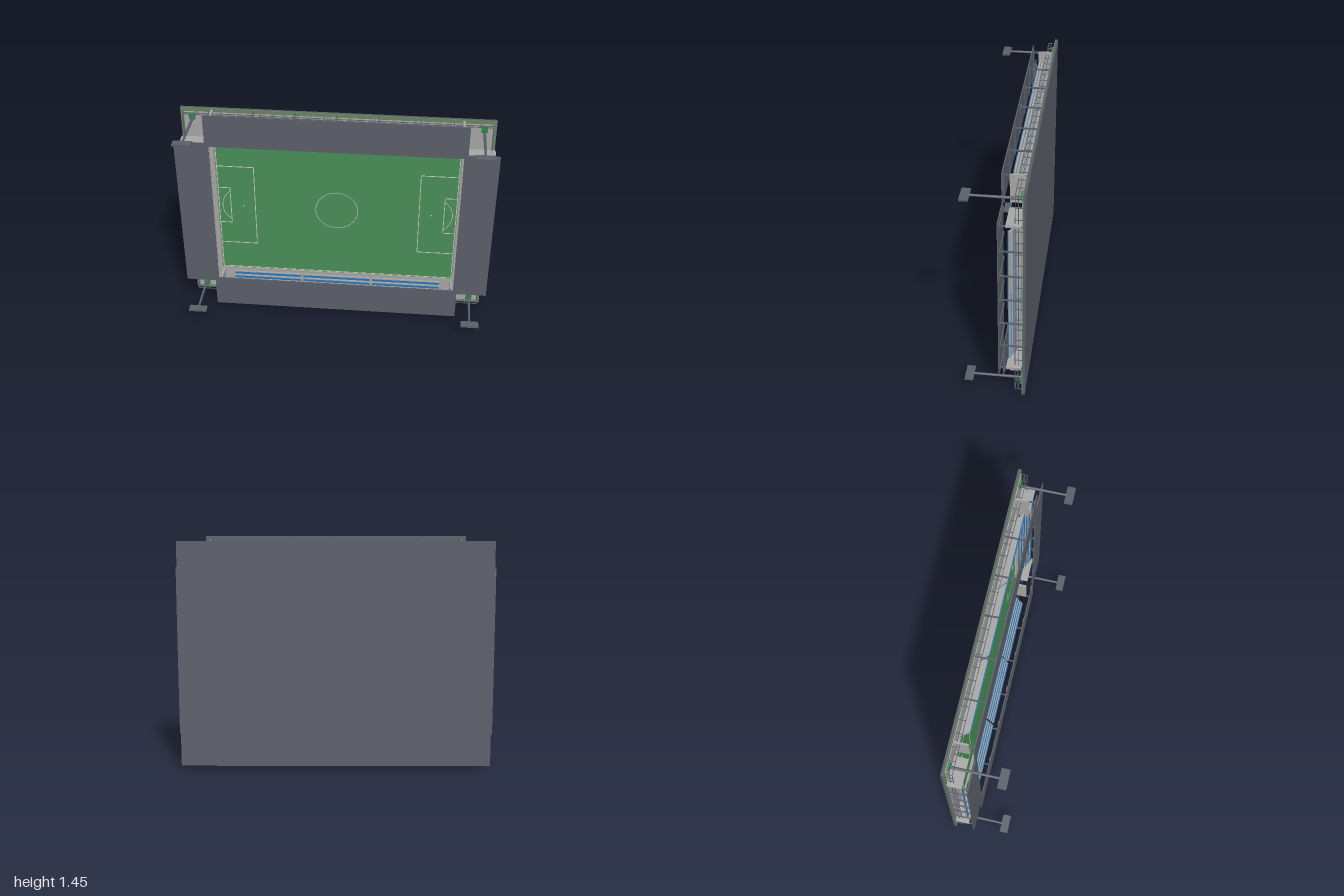
import * as THREE from 'three';

const mat = (name, color) => {
  const m = new THREE.MeshStandardMaterial({ color });
  m.name = name;
  return m;
};

export function createModel() {
  const steel = mat('dark steel', 0x5c606a);
  const grass = mat('pitch grass', 0x4a8f58);
  const apronGreen = mat('apron olive', 0x6c8662);
  const concrete = mat('concrete', 0xa8a8a6);
  const seatBlue = mat('seat blue', 0x2f74b0);
  const lineWhite = mat('line paint', 0xc4ccc0);
  const shrubGreen = mat('planter green', 0x2f8a45);
  const boardGrey = mat('barrier board', 0xa39f98);

  const model = new THREE.Group();
  model.name = 'stadium';
  const arena = new THREE.Group();
  arena.name = 'arena';
  arena.position.y = 0.73; // everything below is measured from the centre spot
  model.add(arena);

  // box given by its limits on each axis
  const box = (parent, name, material, x0, x1, y0, y1, z0, z1) => {
    const mesh = new THREE.Mesh(new THREE.BoxGeometry(x1 - x0, y1 - y0, z1 - z0), material);
    mesh.position.set((x0 + x1) / 2, (y0 + y1) / 2, (z0 + z1) / 2);
    mesh.name = name;
    parent.add(mesh);
    return mesh;
  };

  // ground layers
  box(arena, 'basePlate', steel, -0.97, 0.97, -0.705, 0.705, -0.181, -0.166);
  box(arena, 'apron', apronGreen, -0.97, 0.97, -0.705, 0.705, -0.166, -0.162);
  box(arena, 'concourse', concrete, -0.948, 0.948, -0.68, 0.68, -0.162, -0.157);
  box(arena, 'pitch', grass, -0.774, 0.774, -0.505, 0.505, -0.157, -0.153);

  // low barrier around the pitch
  for (const s of [-1, 1]) {
    const x = s * 0.777, y = s * 0.508;
    box(arena, 'sideBarrier', boardGrey, x - 0.003, x + 0.003, -0.511, 0.511, -0.157, -0.142);
    box(arena, 'endBarrier', boardGrey, -0.774, 0.774, y - 0.003, y + 0.003, -0.157, -0.142);
  }

  // pitch markings
  const LZ = -0.153, LT = 0.0025;
  const line = (x0, x1, y0, y1) =>
    box(arena, 'pitchLine', lineWhite, Math.min(x0, x1) - LT, Math.max(x0, x1) + LT, y0 - LT, y1 + LT, LZ, LZ + 0.0015);
  const flat = (name, geometry, x) => {
    const mesh = new THREE.Mesh(geometry, lineWhite);
    mesh.name = name;
    mesh.position.set(x, 0, LZ + 0.0015);
    arena.add(mesh);
  };
  flat('centreCircle', new THREE.RingGeometry(0.134, 0.138, 64), 0);
  for (const s of [-1, 1]) {
    line(-0.769, 0.769, s * 0.499, s * 0.499);
    line(s * 0.769, s * 0.769, -0.499, 0.499);
    for (const [inner, half] of [[0.532, 0.297], [0.692, 0.135]]) {
      line(s * inner, s * inner, -half, half);
      for (const t of [-1, 1]) line(s * inner, s * 0.769, t * half, t * half);
    }
    flat('penaltySpot', new THREE.CircleGeometry(0.005, 16), s * 0.61);
    const spread = Math.acos(0.082 / 0.136);
    flat('penaltyArc', new THREE.RingGeometry(0.134, 0.138, 32, 1,
      (s > 0 ? 0 : Math.PI) - spread, spread * 2), s * 0.61);
  }

  // one covered stand, built along x with the pitch below it in y
  const makeStand = (name, inner, roofHalf, pillarHalf, blockPitch, blockWidth) => {
    const g = new THREE.Group();
    g.name = name;
    box(g, 'roof', steel, -roofHalf, roofHalf, inner, inner + 0.217, -0.035, -0.028);

    // seating rows in three blocks, rising away from the pitch
    const rows = 6, depth = 0.024, rise = 0.0115;
    for (let b = -1; b <= 1; b++) {
      const x0 = b * blockPitch - blockWidth / 2, x1 = x0 + blockWidth;
      for (let i = 0; i < rows; i++) {
        const y = inner + 0.022 + i * depth, z = -0.152 + i * rise;
        box(g, 'terraceStep', concrete, x0, x1, y, y + depth, z, z + rise - 0.001);
        box(g, 'seatRow', seatBlue, x0, x1, y + 0.007, y + depth - 0.004, z + rise - 0.001, z + rise + 0.005);
      }
    }

    // pillars with roof beams
    for (let i = 0; i < 7; i++) {
      const x = -pillarHalf + (i * pillarHalf) / 3;
      box(g, 'pillar', steel, x - 0.004, x + 0.004, inner + 0.182, inner + 0.19, -0.162, -0.035);
      box(g, 'roofBeam', steel, x - 0.009, x + 0.009, inner + 0.01, inner + 0.2, -0.041, -0.035);
    }

    // end walls
    for (const s of [-1, 1]) {
      box(g, 'endWall', concrete, s * pillarHalf - 0.006, s * pillarHalf + 0.006,
        inner + 0.015, inner + 0.192, -0.157, -0.07);
    }
    arena.add(g);
    return g;
  };
  makeStand('topStand', 0.51, 0.807, 0.77, 0.467, 0.45);
  makeStand('bottomStand', 0.51, 0.807, 0.77, 0.467, 0.45).rotation.z = Math.PI;
  makeStand('leftStand', 0.783, 0.535, 0.5, 0.3, 0.294).rotation.z = -Math.PI / 2;
  makeStand('rightStand', 0.783, 0.535, 0.5, 0.3, 0.294).rotation.z = Math.PI / 2;

  // perimeter fence
  const FX = 0.95, FY = 0.682, R = 0.0018;
  for (const s of [-1, 1]) {
    for (const z of [-0.12, -0.138]) {
      box(arena, 'fenceRail', steel, -FX, FX, s * FY - R, s * FY + R, z - R, z + R);
      box(arena, 'fenceRail', steel, s * FX - R, s * FX + R, -FY, FY, z - R, z + R);
    }
    for (let i = 0; i <= 24; i++) {
      const x = -FX + (i * 2 * FX) / 24;
      box(arena, 'fencePost', steel, x - R, x + R, s * FY - R, s * FY + R, -0.162, -0.12);
    }
    for (let i = 1; i < 18; i++) {
      const y = -FY + (i * 2 * FY) / 18;
      box(arena, 'fencePost', steel, s * FX - R, s * FX + R, y - R, y + R, -0.162, -0.12);
    }
  }

  // corner floodlights and planters
  for (const sx of [-1, 1]) for (const sy of [-1, 1]) {
    const x = sx * 0.897, y = sy * 0.635;
    const pole = new THREE.Mesh(new THREE.CylinderGeometry(0.007, 0.009, 0.297, 12), steel);
    pole.name = 'floodlightPole';
    pole.rotation.x = Math.PI / 2;
    pole.position.set(x, y, -0.0085);
    arena.add(pole);
    box(arena, 'floodlightHead', steel, x - 0.058, x + 0.058, y - 0.006, y + 0.006, 0.13, 0.181);
    box(arena, 'cornerPlanter', shrubGreen, x - 0.02, x + 0.02, sy * 0.652 - 0.021, sy * 0.652 + 0.021, -0.162, -0.147);
  }
  return model;
}
